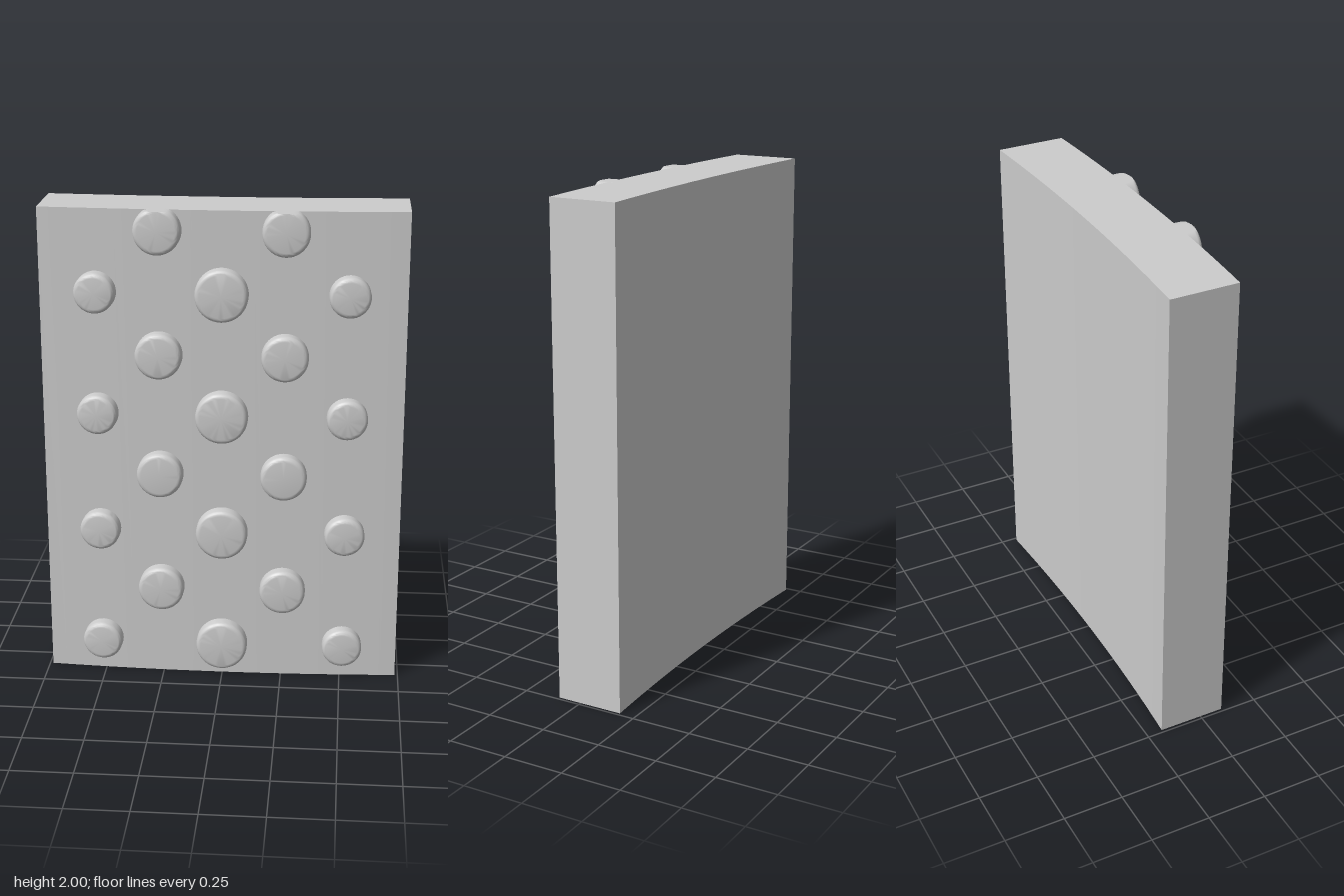
import * as THREE from 'three';
import { toCreasedNormals } from 'three/addons/utils/BufferGeometryUtils.js';

const HALF_W = 0.737, HEIGHT = 2, FRONT = 0.125, BACK = -0.157, RADIUS = 10.6;

// Depth the gently curved panel falls away at a given x
const drop = (x) => RADIUS - Math.sqrt(RADIUS * RADIUS - x * x);

function panelGeometry() {
  const steps = 24;
  const points = [];
  for (let i = 0; i <= steps; i++) {
    const x = -HALF_W + (2 * HALF_W * i) / steps;
    points.push(new THREE.Vector2(x, -(FRONT - drop(x))));
  }
  for (let i = steps; i >= 0; i--) {
    const x = -HALF_W + (2 * HALF_W * i) / steps;
    points.push(new THREE.Vector2(x, -(BACK - drop(x))));
  }
  const geo = new THREE.ExtrudeGeometry(new THREE.Shape(points), { depth: HEIGHT, bevelEnabled: false });
  geo.rotateX(-Math.PI / 2);
  return toCreasedNormals(geo, 0.5);
}

// Round stud with a softened rim, set square to the curved face and trimmed at the panel top
function studGeometry(r, x, y) {
  const h = 0.056, bevel = 0.02;
  const profile = [new THREE.Vector2(r, -0.02)];
  for (let i = 0; i <= 5; i++) {
    const a = (i / 5) * Math.PI / 2;
    profile.push(new THREE.Vector2(r - bevel + bevel * Math.cos(a), h - bevel + bevel * Math.sin(a)));
  }
  profile.push(new THREE.Vector2(0, h));
  const geo = new THREE.LatheGeometry(profile, 40);
  geo.rotateX(Math.PI / 2);
  geo.rotateY(Math.asin(x / RADIUS));
  geo.translate(x, y, FRONT - drop(x));
  const pos = geo.attributes.position;
  for (let i = 0; i < pos.count; i++) pos.setY(i, Math.min(pos.getY(i), HEIGHT));
  return toCreasedNormals(geo, 0.6);
}

export function createModel() {
  const model = new THREE.Group();
  const material = new THREE.MeshStandardMaterial({ color: 0xcccccc });
  const add = (geo, name) => {
    const mesh = new THREE.Mesh(geo, material);
    mesh.name = name;
    model.add(mesh);
  };

  add(panelGeometry(), 'curvedPanel');

  // Staggered studs: large in the centre, smaller towards the sides
  const pitch = 0.507;
  for (let row = 0; row < 4; row++) {
    const y = 0.145 + row * pitch;
    add(studGeometry(0.107, 0, y), 'centreStud');
    for (const side of [-1, 1]) {
      add(studGeometry(0.083, side * pitch, y), 'outerStud');
      add(studGeometry(0.095, side * pitch / 2, y + pitch / 2), 'middleStud');
    }
  }
  return model;
}
